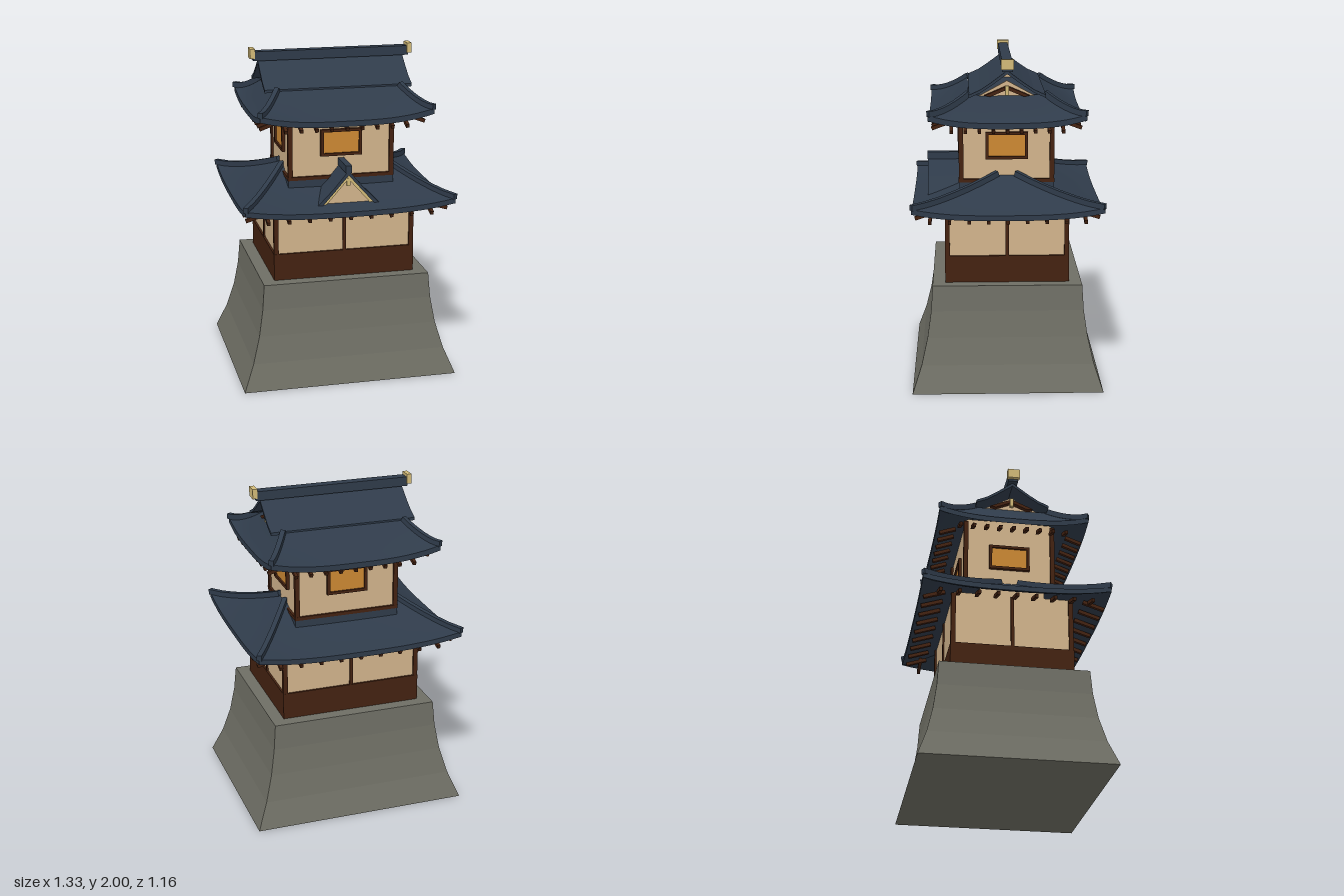
import * as THREE from 'three';
import { toCreasedNormals } from 'three/addons/utils/BufferGeometryUtils.js';

const paint = (name, color, side = THREE.FrontSide) => {
  const m = new THREE.MeshStandardMaterial({ color, side });
  m.name = name;
  return m;
};

export function createModel() {
  const model = new THREE.Group();
  const stone = paint('stone', 0x6e6e64);
  const plaster = paint('plaster', 0xd2b48c);
  const timber = paint('darkTimber', 0x442211);
  const tile = paint('roofTile', 0x2f3b4a);
  const amber = paint('amberWindow', 0xcc8833);
  const gold = paint('paleGold', 0xd2ba78);

  const add = (name, geo, mat, parent = model) => {
    const mesh = new THREE.Mesh(geo, mat);
    mesh.name = name;
    parent.add(mesh);
    return mesh;
  };
  const group = (name) => {
    const g = new THREE.Group();
    g.name = name;
    model.add(g);
    return g;
  };
  // Box given by half sizes in x and z and a height range
  const block = (name, hx, hz, y0, y1, mat, x = 0, z = 0, parent = model) => {
    const m = add(name, new THREE.BoxGeometry(2 * hx, y1 - y0, 2 * hz), mat, parent);
    m.position.set(x, (y0 + y1) / 2, z);
    return m;
  };
  // Square bar between two points
  const bar = (name, a, b, w, h, mat, parent) => {
    const m = add(name, new THREE.BoxGeometry(w, h, a.distanceTo(b)), mat, parent);
    m.position.copy(a).add(b).multiplyScalar(0.5);
    m.lookAt(b);
    return m;
  };
  // Four-sided loft; each row is [half x, half z, y, corner lift]
  const loft = (rows, nu, crease) => {
    const pos = [], idx = [];
    for (let side = 0; side < 4; side++) {
      const start = pos.length / 3;
      for (const [hx, hz, y, lift] of rows) {
        for (let i = 0; i <= nu; i++) {
          const u = (2 * i) / nu - 1;
          const [x, z] = [[u * hx, hz], [hx, -u * hz], [-u * hx, -hz], [-hx, u * hz]][side];
          pos.push(x, y + lift * Math.abs(u) ** 3, z);
        }
      }
      for (let r = 0; r < rows.length - 1; r++) {
        for (let i = 0; i < nu; i++) {
          const a = start + r * (nu + 1) + i, b = a + nu + 1;
          idx.push(a, a + 1, b + 1, a, b + 1, b);
        }
      }
    }
    let geo = new THREE.BufferGeometry();
    geo.setAttribute('position', new THREE.Float32BufferAttribute(pos, 3));
    geo.setIndex(idx);
    geo = geo.toNonIndexed();
    geo.computeVertexNormals();
    return crease ? toCreasedNormals(geo, crease) : geo;
  };
  // Outline extruded along z from z0 to z1
  const prism = (points, z0, z1) => {
    const shape = new THREE.Shape(points.map(([x, y]) => new THREE.Vector2(x, y)));
    const geo = new THREE.ExtrudeGeometry(shape, { depth: z1 - z0, bevelEnabled: false });
    return geo.translate(0, 0, z0);
  };
  // Closed symmetric band from an upper and a lower half profile, apex first
  const chevron = (upper, lower) => {
    const flip = ([x, y]) => [-x, y];
    return [
      ...upper.slice(1).reverse(), ...upper.map(flip),
      ...lower.slice(1).map(flip).reverse(), ...lower,
    ];
  };

  // Flared stone base
  add('stoneBase', loft([
    [0, 0, 0, 0], [0.665, 0.577, 0, 0], [0.6, 0.522, 0.16, 0], [0.555, 0.485, 0.32, 0],
    [0.528, 0.462, 0.48, 0], [0.515, 0.452, 0.635, 0], [0, 0, 0.635, 0],
  ], 1, 0), stone);

  // Lower storey
  block('lowerWainscot', 0.438, 0.376, 0.635, 0.8, timber);
  block('lowerWall', 0.425, 0.363, 0.8, 1.14, plaster);
  block('lowerWallTop', 0.42, 0.2, 1.13, 1.18, plaster);
  const lowerPosts = group('lowerPosts');
  for (const s of [-1, 1]) {
    for (const t of [-1, 1]) {
      block('cornerPost', 0.014, 0.014, 0.8, 1.13, timber, s * 0.423, t * 0.361, lowerPosts);
    }
    block('middlePost', 0.01, 0.012, 0.8, 1.13, timber, 0, s * 0.361, lowerPosts);
    block('middlePost', 0.012, 0.01, 0.8, 1.13, timber, s * 0.423, 0, lowerPosts);
  }

  // Upper storey
  block('wallFlashing', 0.328, 0.287, 1.15, 1.235, tile);
  block('upperSill', 0.331, 0.29, 1.232, 1.253, timber);
  block('upperWall', 0.315, 0.275, 1.25, 1.72, plaster);
  const upperPosts = group('upperPosts');
  for (const s of [-1, 1]) {
    for (const t of [-1, 1]) {
      block('cornerPost', 0.014, 0.014, 1.25, 1.7, timber, s * 0.315, t * 0.275, upperPosts);
    }
  }

  // One framed window on each wall of the upper storey
  for (let i = 0; i < 4; i++) {
    const win = group('window');
    const d = i % 2 ? 0.315 : 0.275;
    block('pane', 0.115, 0.004, 1.39, 1.525, amber, 0, d + 0.004, win);
    for (const s of [-1, 1]) {
      block('frameSide', 0.009, 0.01, 1.375, 1.54, timber, s * 0.119, d + 0.01, win);
      const y = s < 0 ? 1.375 : 1.523;
      block('frameRail', 0.11, 0.01, y, y + 0.017, timber, 0, d + 0.01, win);
    }
    win.rotation.y = (i * Math.PI) / 2;
  }

  // Hipped roof skirt with upturned corners, hip ridges and rafters
  const skirt = (name, e, t, y0, y1, lift, thick, raft) => {
    const g = group(name);
    const n = 8;
    const at = (v, drop) => [
      e[0] + (t[0] - e[0]) * v, e[1] + (t[1] - e[1]) * v,
      y0 + (y1 - y0) * v ** 1.2 - drop, lift * (1 - v) ** 2,
    ];
    const rows = [];
    for (let i = n; i >= 0; i--) rows.push(at(i / n, thick));
    for (let i = 0; i <= n; i++) rows.push(at(i / n, 0));
    add('roofSlopes', loft(rows, 20, 0.6), tile, g);
    for (const sx of [-1, 1]) {
      for (const sz of [-1, 1]) {
        const hip = (v) => {
          const [x, z, y, l] = at(v, 0);
          return new THREE.Vector3(sx * x, y + l + 0.008, sz * z);
        };
        for (let i = 0; i < 6; i++) {
          bar('hipRidge', hip(i / 6), hip((i + 1) / 6 + 0.01), 0.03, 0.034, tile, g);
        }
      }
    }
    // Rafters: [spread x, spread z, inset, length, upper y, lower y]
    const [rx, rz, inset, len, ya, yb] = raft;
    for (let i = -4; i <= 4; i++) {
      for (const s of [-1, 1]) {
        const zo = e[1] - inset, xo = e[0] - inset;
        const x = (i / 4) * rx, z = (i / 4) * rz;
        bar('rafter', new THREE.Vector3(x, ya, s * (zo - len)),
          new THREE.Vector3(x, yb, s * zo), 0.02, 0.022, timber, g);
        bar('rafter', new THREE.Vector3(s * (xo - len), ya, z),
          new THREE.Vector3(s * xo, yb, z), 0.02, 0.022, timber, g);
      }
    }
  };
  skirt('lowerRoof', [0.64, 0.57], [0.325, 0.06], 1.1, 1.275, 0.042, 0.032,
    [0.5, 0.46, 0.018, 0.13, 1.095, 1.053]);
  skirt('upperRoof', [0.527, 0.467], [0.38, 0.23], 1.628, 1.775, 0.05, 0.034,
    [0.37, 0.33, 0.018, 0.1, 1.61, 1.573]);
  block('upperRoofDeck', 0.378, 0.228, 1.742, 1.772, tile);

  // Gabled top roof, its profile running along x
  const gable = new THREE.Group();
  gable.name = 'gableRoof';
  gable.rotation.y = Math.PI / 2;
  model.add(gable);
  add('gableSlopes', prism(chevron(
    [[0, 1.93], [0.05, 1.892], [0.1, 1.855], [0.16, 1.815], [0.228, 1.785]],
    [[0, 1.908], [0.05, 1.872], [0.1, 1.836], [0.16, 1.797], [0.228, 1.767]],
  ), -0.455, 0.455), tile, gable);
  for (const s of [-1, 1]) {
    const z = s * 0.375;
    add('gableWall', prism([[-0.165, 1.77], [0.165, 1.77], [0, 1.86]], z - 0.01, z + 0.01),
      plaster, gable);
    add('bargeBoard', prism(chevron([[0, 1.832], [0.135, 1.775]], [[0, 1.81], [0.1, 1.768]]),
      s * 0.4 - 0.015, s * 0.4 + 0.015), timber, gable);
    block('gablePendant', 0.011, 0.01, 1.778, 1.835, gold, 0, s * 0.415, gable);
  }
  block('topRidge', 0.485, 0.031, 1.925, 1.982, tile);
  for (const s of [-1, 1]) block('ridgeEnd', 0.015, 0.038, 1.94, 2, gold, s * 0.492);

  // Small front dormer
  const dormer = group('dormer');
  add('dormerWall', prism([[-0.168, 1.118], [0.168, 1.118], [0, 1.302]], 0.28, 0.462),
    plaster, dormer);
  add('dormerSlopes', prism(chevron(
    [[0, 1.33], [0.09, 1.222], [0.195, 1.115]], [[0, 1.3], [0.08, 1.208], [0.163, 1.115]],
  ), 0.28, 0.482), tile, dormer);
  add('dormerBoard', prism(chevron(
    [[0, 1.302], [0.163, 1.118]], [[0, 1.275], [0.138, 1.118]],
  ), 0.46, 0.472), gold, dormer);
  block('dormerPendant', 0.01, 0.006, 1.235, 1.282, gold, 0, 0.472, dormer);
  const ridge = block('dormerRidge', 0.019, 0.102, 1.315, 1.36, tile, 0, 0.384, dormer);
  ridge.name = 'dormerRidge';

  return model;
}
